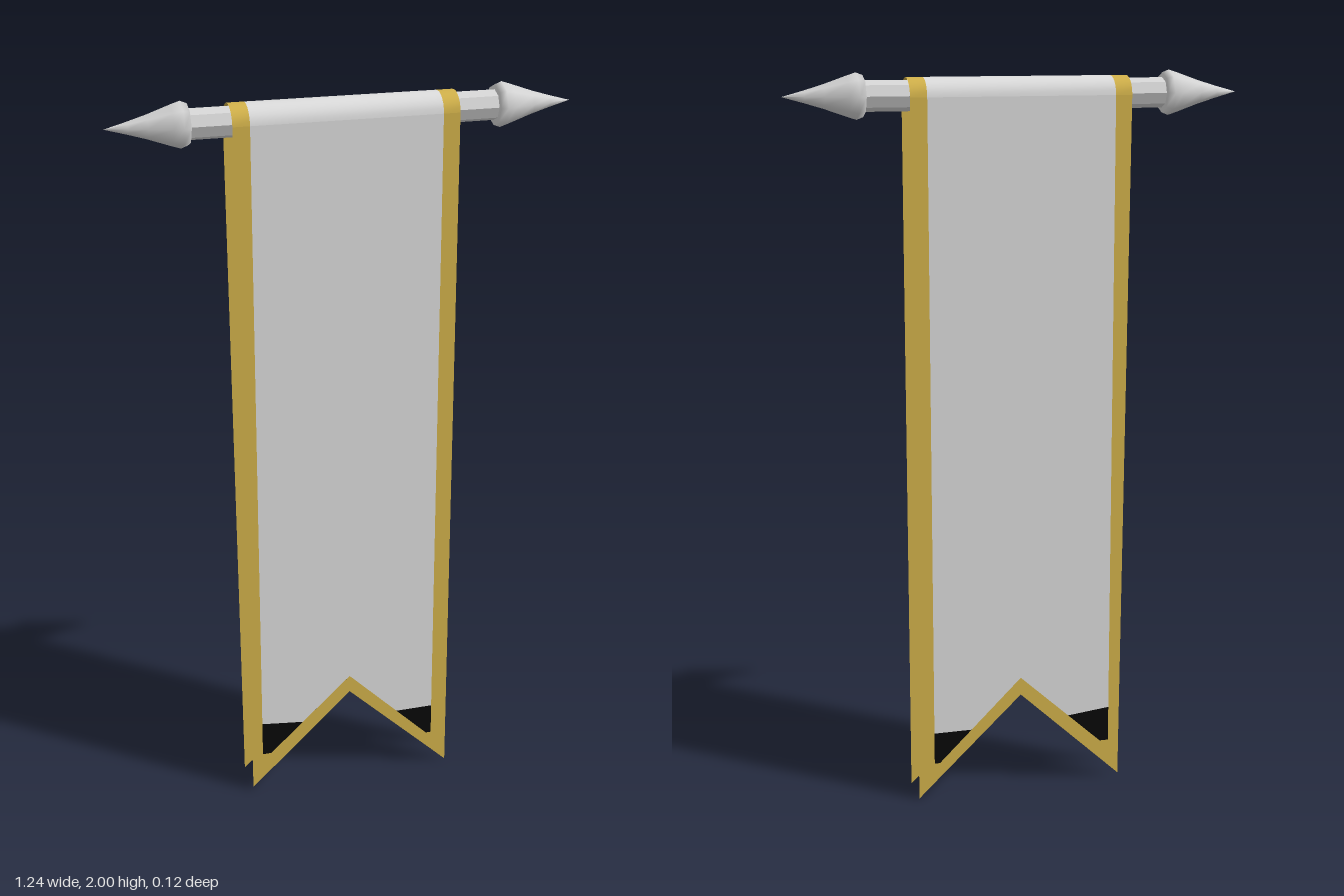
import * as THREE from 'three';

export function createModel() {
  const model = new THREE.Group();
  const mat = (name, color, side = THREE.FrontSide) => {
    const m = new THREE.MeshStandardMaterial({ color, side });
    m.name = name;
    return m;
  };
  const cloth = mat('pale cloth', 0xdadada, THREE.DoubleSide);
  const gold = mat('gold trim', 0xd0b04a, THREE.DoubleSide);
  const black = mat('black corner', 0x080808, THREE.DoubleSide);
  const metal = mat('pale metal', 0xd4d4d4);

  const add = (name, geometry, material, parent = model) => {
    const mesh = new THREE.Mesh(geometry, material);
    mesh.name = name;
    parent.add(mesh);
    return mesh;
  };

  const rodY = 1.938, foldY = 1.935, depth = 0.053, rise = 0.05;

  // Hanging sheets: flat outlines that meet edge to edge
  const outline = pts => new THREE.ShapeGeometry(new THREE.Shape(pts.map(p => new THREE.Vector2(...p))));
  const pieces = [
    ['clothPanel', cloth, [[-0.26, foldY], [-0.26, 0.215], [-0.14, 0.202], [0, 0.33], [0.143, 0.19], [0.25, 0.19], [0.25, foldY]]],
    ['rightBorder', gold, [[-0.305, foldY], [-0.29, 0.01], [-0.26, 0.038], [-0.26, foldY]]],
    ['leftBorder', gold, [[0.25, foldY], [0.25, 0.043], [0.295, 0], [0.295, foldY]]],
    ['notchBorder', gold, [[-0.26, 0.038], [0, 0.28], [0.25, 0.043], [0.25, 0.1], [0.235, 0.1],
      [0, 0.33], [-0.235, 0.115], [-0.26, 0.115]]],
    ['rightCorner', black, [[-0.26, 0.215], [-0.26, 0.115], [-0.235, 0.115], [-0.14, 0.202]]],
    ['leftCorner', black, [[0.25, 0.19], [0.143, 0.19], [0.235, 0.1], [0.25, 0.1]]],
  ];
  for (const [name, z] of [['frontSheet', depth], ['backSheet', -depth]]) {
    const sheet = new THREE.Group();
    sheet.name = name;
    sheet.position.z = z;
    // The back sheet's faces are turned outward
    for (const [part, material, pts] of pieces) {
      const g = outline(pts);
      if (z < 0) {
        g.index.array.reverse();
        g.computeVertexNormals();
      }
      add(part, g, material, sheet);
    }
    model.add(sheet);
  }

  // Rounded fold over the rod, swept from front to back
  const fold = (x0, x1) => {
    const g = new THREE.PlaneGeometry(1, 1, 1, 12);
    const p = g.attributes.position;
    for (let i = 0; i < p.count; i++) {
      const a = (p.getY(i) + 0.5) * Math.PI;
      p.setXYZ(i, p.getX(i) < 0 ? x0 : x1, foldY + rise * Math.sin(a), depth * Math.cos(a));
    }
    g.computeVertexNormals();
    return g;
  };
  add('clothFold', fold(-0.26, 0.25), cloth);
  add('rightFoldBorder', fold(-0.305, -0.26), gold);
  add('leftFoldBorder', fold(0.25, 0.295), gold);

  // Faceted rod
  const rodGeometry = new THREE.CylinderGeometry(0.04, 0.04, 0.82, 8).toNonIndexed();
  rodGeometry.computeVertexNormals();
  const rod = add('rod', rodGeometry, metal);
  rod.rotation.z = Math.PI / 2;
  rod.position.y = rodY;

  // Spear-shaped finials
  const profile = [[0, 0.407], [0.053, 0.407], [0.06, 0.425], [0.052, 0.45], [0.031, 0.51], [0.016, 0.56], [0, 0.618]]
    .map(p => new THREE.Vector2(...p));
  for (const [name, side] of [['leftFinial', 1], ['rightFinial', -1]]) {
    const finial = add(name, new THREE.LatheGeometry(profile, 8), metal);
    finial.rotation.z = -side * Math.PI / 2;
    finial.position.y = rodY;
  }
  return model;
}
